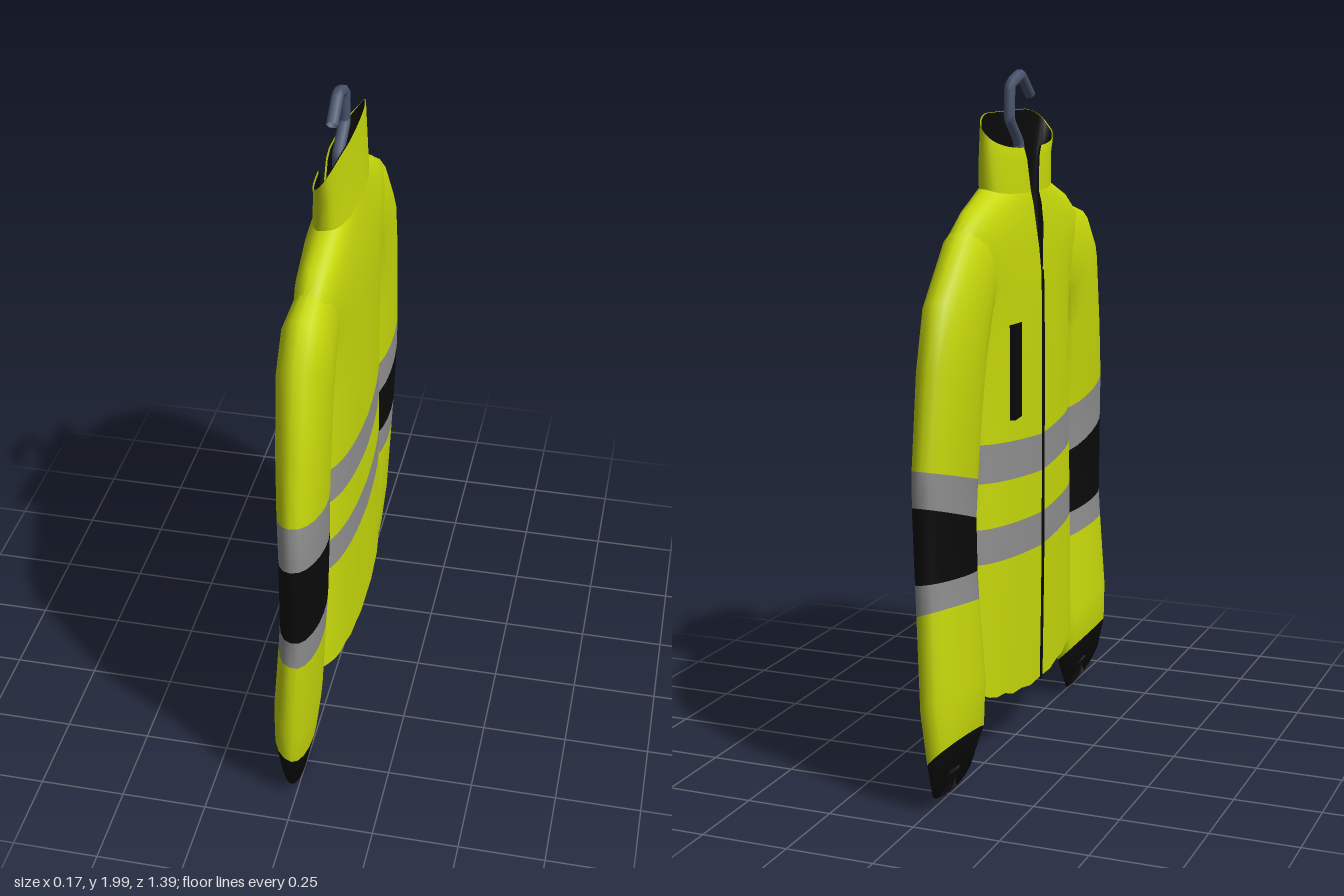
import * as THREE from 'three';

const mat = (color) => new THREE.MeshStandardMaterial({ color, side: THREE.DoubleSide, roughness: 0.8 });
const MATS = { yellow: mat(0xc6d80a), grey: mat(0x8e8e8e), black: mat(0x0a0a0a), steel: mat(0x4a5670) };

// Skin a list of rings (arrays of Vector3); bands[j] colours the strip between ring j and j+1.
// All strips share one set of smooth normals.
function loft(name, rings, bands, closed) {
  const n = rings[0].length;
  const strip = (j) => {
    const idx = [];
    for (let i = 0; i < (closed ? n : n - 1); i++) {
      const a = j * n + i, b = j * n + (i + 1) % n, c = a + n, d = b + n;
      idx.push(a, b, d, a, d, c);
    }
    return idx;
  };
  const base = new THREE.BufferGeometry().setFromPoints(rings.flat());
  base.setIndex(rings.slice(1).flatMap((_, j) => strip(j)));
  base.computeVertexNormals();
  const group = new THREE.Group();
  group.name = name;
  for (const color of new Set(bands)) {
    const g = new THREE.BufferGeometry();
    g.setAttribute('position', base.attributes.position);
    g.setAttribute('normal', base.attributes.normal);
    g.setIndex(bands.flatMap((b, j) => (b === color ? strip(j) : [])));
    const mesh = new THREE.Mesh(g, MATS[color]);
    mesh.name = `${name} ${color}`;
    group.add(mesh);
  }
  return group;
}

const pow = (v, e) => Math.sign(v) * Math.abs(v) ** e;

// Horizontal torso ring, starting and ending at the front opening (-x).
// w: half width, xf/xb: front and back depth, sag: dip at the middle,
// drop: extra lowering of the front, gap: half angle of the opening, wave: hem ripple.
function torsoRing({ y, w, xf, xb, sag = 0, drop = 0, gap = 0, wave = 0 }, n = 40) {
  return Array.from({ length: n + 1 }, (_, i) => {
    const t = Math.PI + gap + (i / n) * 2 * (Math.PI - gap);
    const c = pow(Math.cos(t), 0.8), s = pow(Math.sin(t), 0.85);
    const front = Math.max(0, -c);
    return new THREE.Vector3(
      c * (c < 0 ? -xf : xb),
      y - sag * (1 - Math.abs(s)) - drop * front + wave * Math.cos(s * 20) * Math.abs(c),
      -s * w);
  });
}

// Sleeve ring spanning an outer and an inner point; tilt lowers the back edge.
function sleeveRing(side, [oz, oy, iz, iy, xf, xb, tilt = 0], n = 20) {
  return Array.from({ length: n }, (_, i) => {
    const t = (i / n) * 2 * Math.PI, c = Math.cos(t), s = pow(Math.sin(t), 0.85);
    return new THREE.Vector3(
      (xf + xb) / 2 + s * (xb - xf) / 2,
      (oy + iy) / 2 + c * (oy - iy) / 2 - tilt * s,
      side * ((oz + iz) / 2 + c * (oz - iz) / 2));
  });
}

export function createModel() {
  const model = new THREE.Group();
  model.name = 'safetyJacket';

  // Torso with two reflective bands and a neck opening at the front
  const torso = [
    { y: 0.29, w: 0.40, xf: -0.08, xb: 0.08, sag: 0.03, drop: 0.06, wave: 0.006 },
    { y: 0.45, w: 0.39, xf: -0.083, xb: 0.08, sag: 0.03, drop: 0.01 },
    { y: 0.64, w: 0.38, xf: -0.085, xb: 0.08, sag: 0.025 },
    { y: 0.74, w: 0.375, xf: -0.085, xb: 0.08, sag: 0.025 },
    { y: 0.87, w: 0.365, xf: -0.085, xb: 0.08, sag: 0.03 },
    { y: 0.98, w: 0.36, xf: -0.085, xb: 0.08, sag: 0.03 },
    { y: 1.20, w: 0.355, xf: -0.085, xb: 0.08 },
    { y: 1.35, w: 0.36, xf: -0.084, xb: 0.08 },
    { y: 1.42, w: 0.40, xf: -0.082, xb: 0.08, gap: 0.005 },
    { y: 1.50, w: 0.45, xf: -0.079, xb: 0.077, gap: 0.02 },
    { y: 1.56, w: 0.445, xf: -0.075, xb: 0.072, gap: 0.04 },
    { y: 1.62, w: 0.35, xf: -0.068, xb: 0.066, gap: 0.06 },
    { y: 1.675, w: 0.22, xf: -0.06, xb: 0.058, drop: 0.02, gap: 0.1 },
  ];
  const torsoBands = torso.slice(1).map((_, j) => (j === 2 || j === 4 ? 'grey' : 'yellow'));
  model.add(loft('torso', torso.map((r) => torsoRing(r)), torsoBands, false));

  // Flared stand-up collar, high at the back, with a dark lining
  const collar = [
    { y: 1.675, w: 0.22, xf: -0.06, xb: 0.058, drop: 0.02, gap: 0.1 },
    { y: 1.76, w: 0.232, xf: -0.055, xb: 0.05, drop: 0.01, gap: 0.16 },
    { y: 1.83, w: 0.248, xf: -0.048, xb: 0.042, drop: 0.05, gap: 0.22 },
  ];
  const collarRings = collar.map((r) => torsoRing(r));
  for (const p of collarRings[2]) {
    p.y += 0.05 * Math.min(1, Math.max(0, p.x / 0.035));
    p.z += 0.015;
  }
  model.add(loft('collar', collarRings, ['yellow', 'yellow'], false));
  const inset = (ring) => ring.map((p) => new THREE.Vector3(p.x * 0.9, p.y - 0.001, p.z * 0.975));
  const lining = [
    torsoRing({ y: 1.38, w: 0.01, xf: -0.01, xb: 0.01 }),
    torsoRing({ y: 1.4, w: 0.2, xf: -0.065, xb: 0.065 }),
    torsoRing({ y: 1.58, w: 0.22, xf: -0.06, xb: 0.06, gap: 0.08 }),
    ...collarRings.map(inset),
  ];
  model.add(loft('collarLining', lining, Array(5).fill('black'), false));

  // Sleeves: [outer z, y, inner z, y, front x, back x, tilt]
  const bands = ['yellow', 'yellow', 'yellow', 'yellow', 'grey', 'black', 'grey', 'yellow', 'yellow', 'black', 'black'];
  const leftSleeve = [
    [0.24, 1.63, 0.22, 1.35, -0.05, 0.05],
    [0.50, 1.56, 0.32, 1.30, -0.075, 0.07],
    [0.585, 1.47, 0.335, 1.18, -0.075, 0.07],
    [0.645, 1.22, 0.34, 1.06, -0.068, 0.068],
    [0.69, 1.03, 0.345, 0.95, -0.058, 0.066],
    [0.70, 0.89, 0.345, 0.81, -0.053, 0.065],
    [0.685, 0.63, 0.345, 0.61, -0.055, 0.058, 0.01],
    [0.685, 0.54, 0.345, 0.53, -0.06, 0.053, 0.02],
    [0.69, 0.29, 0.33, 0.28, -0.077, 0.038, 0.04],
    [0.665, 0.17, 0.345, 0.16, -0.08, 0.022, 0.05],
    [0.655, 0.08, 0.39, 0.07, -0.055, 0.0, 0.065],
    [0.56, 0.09, 0.48, 0.09, -0.03, -0.02, 0.01],
  ];
  const rightSleeve = [
    [0.24, 1.63, 0.22, 1.35, -0.05, 0.05],
    [0.43, 1.575, 0.30, 1.30, -0.075, 0.07],
    [0.585, 1.41, 0.325, 1.16, -0.075, 0.07],
    [0.635, 1.24, 0.335, 1.04, -0.068, 0.068],
    [0.672, 0.97, 0.34, 0.88, -0.058, 0.066],
    [0.672, 0.87, 0.345, 0.77, -0.053, 0.065],
    [0.67, 0.66, 0.345, 0.62, -0.055, 0.058, 0.01],
    [0.675, 0.58, 0.345, 0.53, -0.06, 0.053, 0.02],
    [0.692, 0.33, 0.34, 0.28, -0.077, 0.038, 0.04],
    [0.675, 0.18, 0.37, 0.15, -0.08, 0.022, 0.05],
    [0.665, 0.10, 0.415, 0.07, -0.055, 0.0, 0.065],
    [0.57, 0.10, 0.49, 0.09, -0.03, -0.02, 0.01],
  ];
  model.add(loft('leftSleeve', leftSleeve.map((r) => sleeveRing(1, r)), bands, true));
  model.add(loft('rightSleeve', rightSleeve.map((r) => sleeveRing(-1, r)), bands, true));

  // Front zip following the torso profile
  const tube = (name, pts, radius, sides, material, tension) => {
    const curve = new THREE.CatmullRomCurve3(pts.map((p) => new THREE.Vector3(...p)), false, 'catmullrom', tension);
    const mesh = new THREE.Mesh(new THREE.TubeGeometry(curve, 40, radius, sides), material);
    mesh.name = name;
    model.add(mesh);
  };
  tube('zip', [[-0.08, 0.2, 0], [-0.083, 0.42, 0], [-0.085, 0.62, 0], [-0.085, 1.2, 0], [-0.082, 1.43, 0]], 0.006, 6, MATS.black, 0.3);

  // Chest pocket flap
  const pocket = new THREE.Mesh(new THREE.BoxGeometry(0.02, 0.27, 0.07), MATS.black);
  pocket.name = 'chestPocket';
  pocket.position.set(-0.074, 1.165, -0.19);
  pocket.rotation.y = 0.1;
  model.add(pocket);

  // Hanger hook and hidden cross bar
  tube('hangerHook', [[-0.005, 1.925, 0.1], [-0.005, 1.983, 0.025], [-0.005, 1.955, -0.055], [-0.005, 1.86, -0.06],
    [-0.01, 1.79, 0], [-0.01, 1.5, 0]], 0.017, 6, MATS.steel, 0.08);
  tube('hangerBar', [[-0.01, 1.48, -0.16], [-0.01, 1.56, 0], [-0.01, 1.48, 0.16]], 0.022, 6, MATS.steel, 0.3);

  return model;
}
